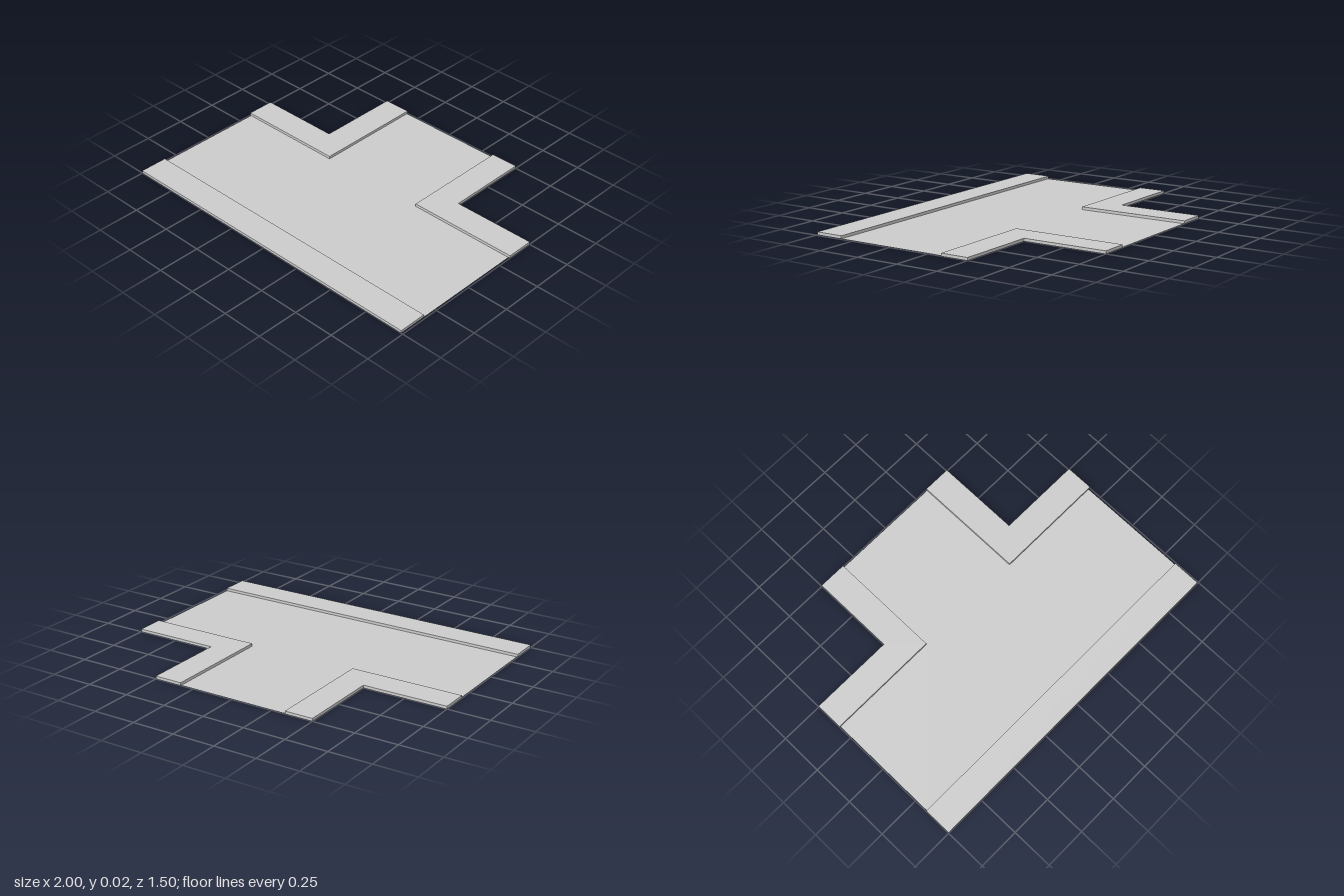
import * as THREE from 'three';

const HEIGHT = 0.0165;

// Outline given as [x, z] pairs, seen from above
function outline(points) {
  return new THREE.Shape(points.map(([x, z]) => new THREE.Vector2(x, -z)));
}

export function createModel() {
  const model = new THREE.Group();
  model.name = 'roadJunction';
  const paving = new THREE.MeshStandardMaterial({ color: 0xcccccc, flatShading: true });
  const asphalt = paving.clone();
  asphalt.side = THREE.DoubleSide;

  function add(name, geometry, material) {
    geometry.rotateX(-Math.PI / 2);
    const mesh = new THREE.Mesh(geometry, material);
    mesh.name = name;
    model.add(mesh);
  }
  const slab = (points) =>
    new THREE.ExtrudeGeometry(outline(points), { depth: HEIGHT, bevelEnabled: false });

  // Thin T-shaped road surface between the pavements
  add('roadSurface', new THREE.ShapeGeometry(outline([
    [-0.995, 0.583], [0.99, 0.583], [0.99, -0.085], [0.333, -0.085],
    [0.333, -0.746], [-0.333, -0.746], [-0.333, -0.085], [-0.995, -0.085],
  ])), asphalt);

  // Straight pavement along the front
  add('frontPavement', slab([[-1, 0.583], [0.99, 0.583], [0.99, 0.75], [-1, 0.75]]), paving);

  // Mirrored L-shaped corner pavements
  for (const [name, s] of [['leftCornerPavement', 1], ['rightCornerPavement', -1]]) {
    add(name, slab([
      [0.333, -0.75], [0.5, -0.75], [0.5, -0.25], [1, -0.25], [1, -0.085], [0.333, -0.085],
    ].map(([x, z]) => [x * s, z])), paving);
  }
  return model;
}
